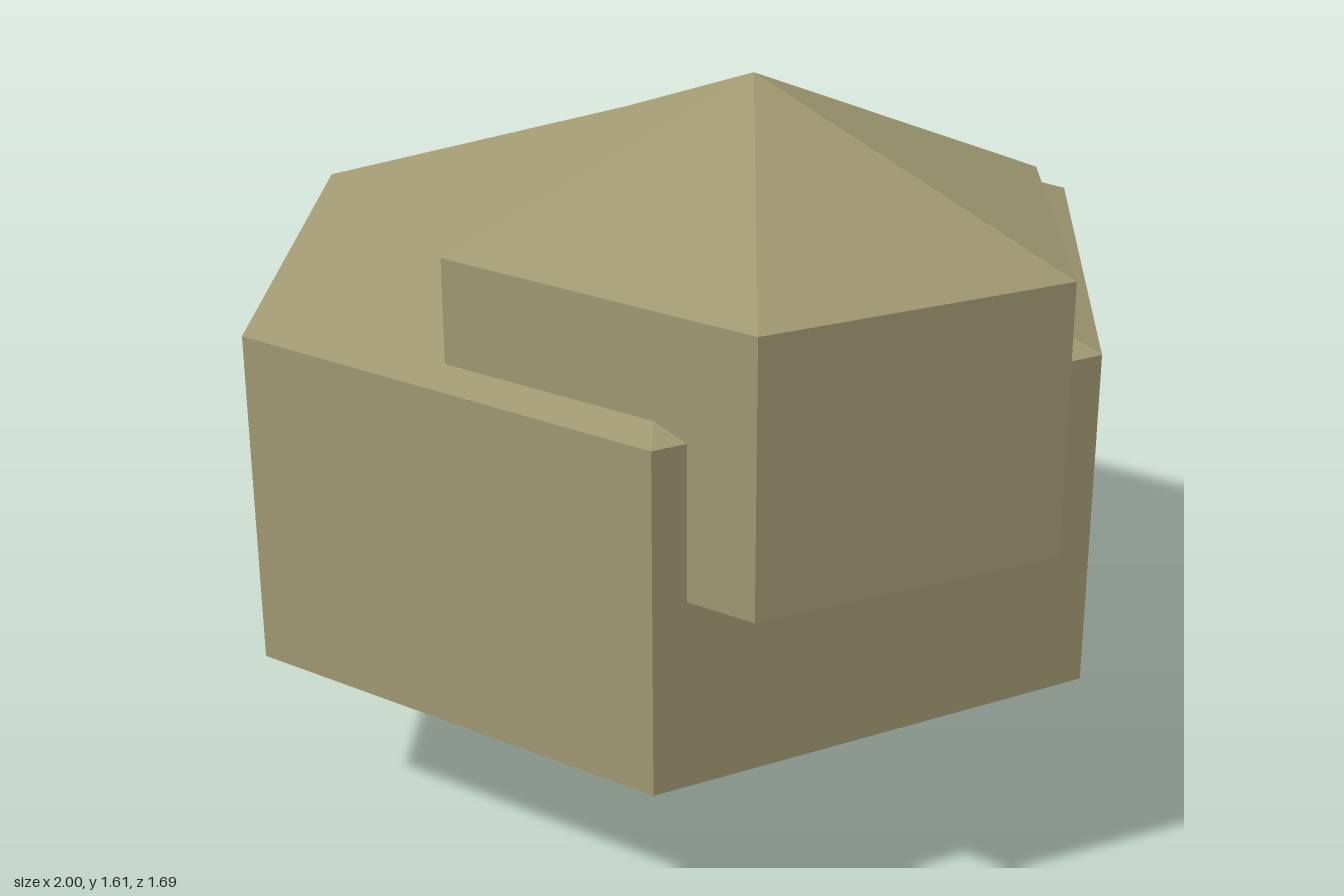
import * as THREE from 'three';

// Six-sided crystal stone: pointed base, upright walls, pointed roof
function stone(name, material, { rx, rz, low, wallLow, wallHigh, high, x, z }) {
  const profile = [[0, low], [1, wallLow], [1, wallHigh], [0, high]]
    .map(([r, y]) => new THREE.Vector2(r, y));
  // start a quarter turn round so corners point along x
  const geometry = new THREE.LatheGeometry(profile, 6, Math.PI / 2).toNonIndexed();
  geometry.scale(rx, 1, rz);
  geometry.computeVertexNormals();
  const mesh = new THREE.Mesh(geometry, material);
  mesh.name = name;
  mesh.position.set(x, 0, z);
  return mesh;
}

export function createModel() {
  const group = new THREE.Group();
  group.name = 'rockCluster';
  const stoneColour = new THREE.MeshStandardMaterial({ color: 0xa09872, flatShading: true });
  stoneColour.name = 'khaki stone';

  group.add(
    stone('largeStone', stoneColour, {
      rx: 0.975, rz: 0.975, low: 0, wallLow: 0.367, wallHigh: 1.09, high: 1.453, x: -0.022, z: 0,
    }),
    stone('smallStone', stoneColour, {
      rx: 0.698, rz: 0.625, low: 0.487, wallLow: 0.767, wallHigh: 1.332, high: 1.613, x: 0.3, z: 0.241,
    }),
  );
  return group;
}
